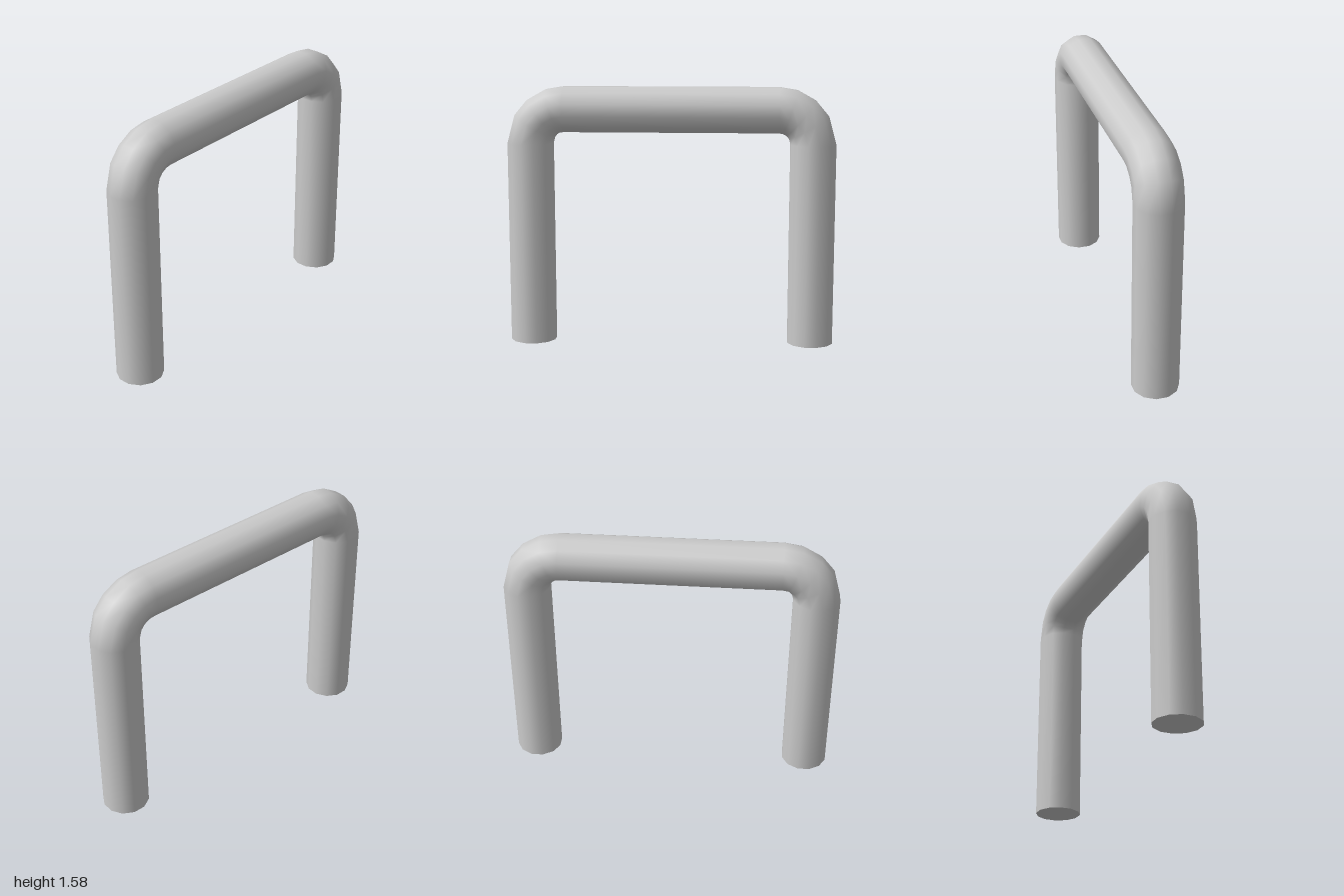
import * as THREE from 'three';

const SIDES = 12;
const OFFSET = Math.PI / SIDES;            // flats face front, back and outward
const RADIUS = 0.1375 / Math.cos(OFFSET);  // corner radius of the round bar
const LEG_X = 0.8625;                      // leg centreline
const BEND = { x: 0.655, y: 1.235, r: 0.2075 };
const BEND_ANGLES = [0, 30, 50, 71, 90];

// Centreline stations from the left foot over the top to the right foot
function stations() {
  const half = [{ x: LEG_X, y: 0, a: 0 }];
  for (const deg of BEND_ANGLES) {
    const a = THREE.MathUtils.degToRad(deg);
    half.push({ x: BEND.x + BEND.r * Math.cos(a), y: BEND.y + BEND.r * Math.sin(a), a });
  }
  const mirrored = half.map(s => ({ x: -s.x, y: s.y, a: Math.PI - s.a })).reverse();
  return [...half, ...mirrored];
}

// Sweep a ring of corners through the stations
function barGeometry() {
  const path = stations();
  const pos = [], nor = [], idx = [];
  const row = SIDES + 1;
  path.forEach((s, i) => {
    for (let j = 0; j <= SIDES; j++) {
      const t = OFFSET + (j / SIDES) * Math.PI * 2;
      const n = [Math.cos(t) * Math.cos(s.a), Math.cos(t) * Math.sin(s.a), Math.sin(t)];
      pos.push(s.x + RADIUS * n[0], s.y + RADIUS * n[1], RADIUS * n[2]);
      nor.push(...n);
      if (i < path.length - 1 && j < SIDES) {
        const a = i * row + j, b = a + 1, c = a + row, d = c + 1;
        idx.push(a, c, b, b, c, d);
      }
    }
  });
  const g = new THREE.BufferGeometry();
  g.setAttribute('position', new THREE.Float32BufferAttribute(pos, 3));
  g.setAttribute('normal', new THREE.Float32BufferAttribute(nor, 3));
  g.setIndex(idx);
  return g;
}

export function createModel() {
  const group = new THREE.Group();
  group.name = 'bentBarHandle';
  const material = new THREE.MeshStandardMaterial({ color: 0xcccccc });

  // Legs, bends and crossbar in one continuous bar
  const bar = new THREE.Mesh(barGeometry(), material);
  bar.name = 'bar';
  group.add(bar);

  // Flat ends of the legs
  for (const side of [1, -1]) {
    const end = new THREE.Mesh(new THREE.CircleGeometry(RADIUS, SIDES, OFFSET).rotateX(Math.PI / 2), material);
    end.name = side > 0 ? 'leftFoot' : 'rightFoot';
    end.position.x = side * LEG_X;
    group.add(end);
  }
  return group;
}
